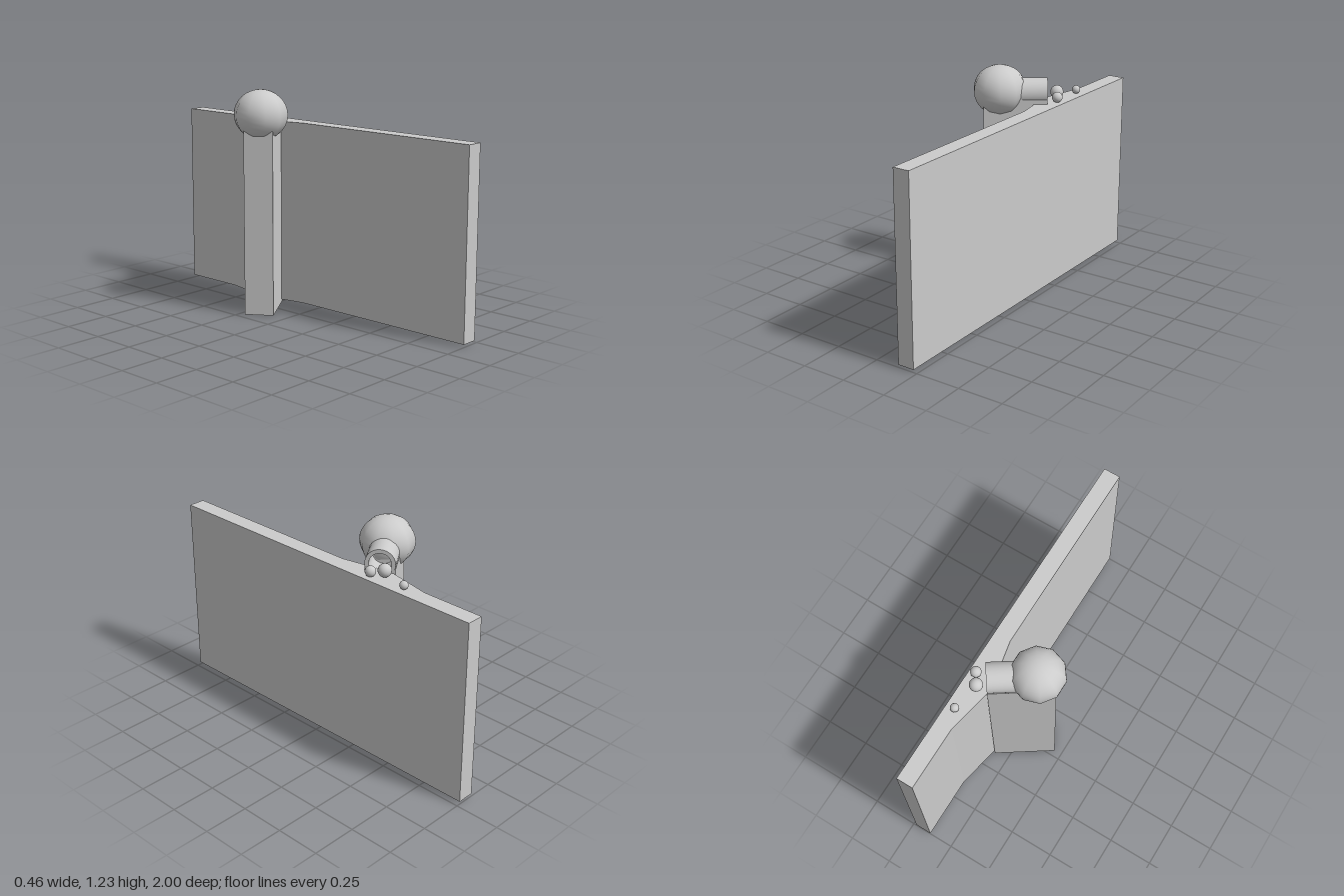
import * as THREE from 'three';
import { toCreasedNormals } from 'three/addons/utils/BufferGeometryUtils.js';

const material = new THREE.MeshStandardMaterial({ color: 0xcccccc });

function add(parent, name, geometry, x = 0, y = 0, z = 0) {
  const mesh = new THREE.Mesh(geometry, material);
  mesh.name = name;
  mesh.position.set(x, y, z);
  parent.add(mesh);
  return mesh;
}

export function createModel() {
  const model = new THREE.Group();
  model.name = 'wallWithBarrel';

  // Wall: plan outline (x, z) with a shallow peaked bulge, raised upwards
  const plan = [[0.23, 1], [0.23, -1], [0.137, -1], [0.137, -0.65], [0.081, -0.375], [0.137, -0.1], [0.137, 1]];
  const wallShape = new THREE.Shape(plan.map(([x, z]) => new THREE.Vector2(x, -z)));
  const wallGeometry = new THREE.ExtrudeGeometry(wallShape, { depth: 1.02, bevelEnabled: false });
  wallGeometry.rotateX(-Math.PI / 2);
  add(model, 'wall', wallGeometry, 0, 0.015, 0);

  // Turned assembly: local +x runs along the barrel towards the muzzle
  const mount = new THREE.Group();
  mount.name = 'barrelMount';
  mount.position.set(-0.09, 0, -0.2);
  mount.rotation.y = 0.593;
  model.add(mount);

  const radius = 0.079, axisY = 1.082, muzzle = 0.258, rear = -0.087;

  // Pedestal: tall block whose top cradles the barrel
  const dip = 0.28; // angle of the cradle's rim below the barrel axis
  const rimX = radius * Math.cos(dip), rimY = axisY - radius * Math.sin(dip);
  const block = new THREE.Shape();
  block.moveTo(-radius, 0);
  block.lineTo(radius, 0);
  block.lineTo(radius, rimY);
  block.lineTo(rimX, rimY);
  block.absarc(0, axisY, radius, -dip, -Math.PI + dip, true);
  block.lineTo(-radius, rimY);
  block.closePath();
  const blockGeometry = new THREE.ExtrudeGeometry(block, { depth: muzzle - rear, bevelEnabled: false, curveSegments: 8 });
  blockGeometry.rotateY(Math.PI / 2);
  add(mount, 'pedestal', blockGeometry, rear, 0, 0);

  // Barrel: hollow tube, open at the muzzle
  const bore = 0.058;
  const profile = [[radius, 0], [radius, muzzle], [bore, muzzle], [bore, 0.13], [0, 0.13]];
  const tube = new THREE.LatheGeometry(profile.map(([r, y]) => new THREE.Vector2(r, y)), 28);
  tube.rotateZ(-Math.PI / 2);
  add(mount, 'barrel', toCreasedNormals(tube, 0.6), 0, axisY, 0);

  // Breech ball: ten-sided in plan, slightly flattened
  const ballGeometry = new THREE.SphereGeometry(0.147, 10, 16);
  ballGeometry.rotateY(Math.PI / 2);
  ballGeometry.scale(1, 0.93, 1);
  add(model, 'breechBall', ballGeometry, -0.09, 1.095, -0.2);

  // Small shot resting on the wall
  for (const [x, y, z, r] of [[0.19, 1.064, -0.34, 0.029], [0.15, 1.075, -0.4, 0.036], [0.18, 1.058, -0.553, 0.023]]) {
    add(model, 'shot', new THREE.SphereGeometry(r, 16, 12), x, y, z);
  }

  return model;
}
